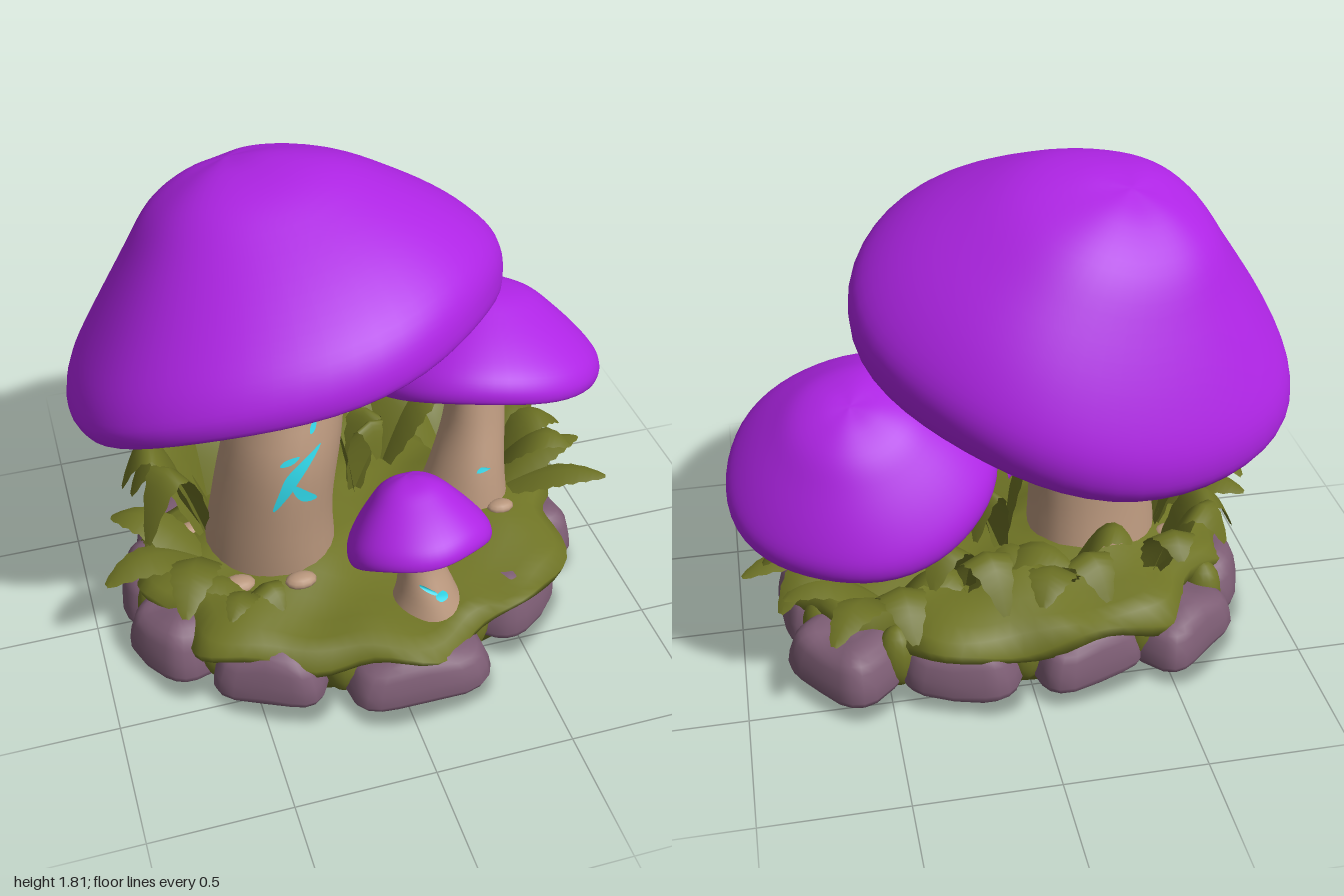
import * as THREE from 'three';
import { mergeVertices } from 'three/addons/utils/BufferGeometryUtils.js';

const paint = (name, color, side = THREE.FrontSide) => {
  const m = new THREE.MeshStandardMaterial({ color, side });
  m.name = name;
  return m;
};

export function createModel() {
  const model = new THREE.Group();
  model.name = 'mushroomCluster';
  const purple = paint('cap purple', 0xae24e4);
  const gill = paint('gill purple', 0x854ca8);
  const slate = paint('gill slate', 0x8c8aaa);
  const teal = paint('gill teal', 0x38c0c6);
  const tan = paint('stem tan', 0xb8967c);
  const cyan = paint('glowing cyan', 0x30d8ea, THREE.DoubleSide);
  const moss = paint('moss green', 0x6f7425);
  const leafGreen = paint('leaf green', 0x6c7124, THREE.DoubleSide);
  const stone = paint('stone mauve', 0x7d5d74);

  const add = (name, geometry, material, parent = model) => {
    const mesh = new THREE.Mesh(geometry, material);
    mesh.name = name;
    parent.add(mesh);
    return mesh;
  };

  // Move every vertex by a rule, then weld and smooth
  const v = new THREE.Vector3();
  const warp = (g, rule) => {
    const p = g.attributes.position;
    for (let i = 0; i < p.count; i++) {
      rule(v.fromBufferAttribute(p, i));
      p.setXYZ(i, v.x, v.y, v.z);
    }
    g.deleteAttribute('uv');
    g.deleteAttribute('normal');
    const out = mergeVertices(g, 1e-5);
    out.computeVertexNormals();
    return out;
  };
  const vec2 = ([x, y]) => new THREE.Vector2(x, y);
  const vec3 = ([x, y, z]) => new THREE.Vector3(x, y, z);

  // Caps: lathed unit profile, wobbled, scaled and tilted
  const dome = new THREE.SplineCurve([[0.88, -0.05], [0.91, -0.09], [0.97, -0.09], [1, 0.03], [0.96, 0.2], [0.82, 0.42],
    [0.62, 0.66], [0.42, 0.86], [0.2, 0.97], [0, 1]].map(vec2)).getPoints(40);
  dome[40].x = 0;

  function addCap(name, { center, axis, size, bands, sag, lean, phase, wobble }) {
    const cap = new THREE.Group();
    cap.name = name;
    const shape = (p) => {
      const a = Math.atan2(p.x, p.z), r = Math.hypot(p.x, p.z);
      const inner = p.y < 0 && r < 0.84 ? 0.1 * Math.sin(r / 0.84 * Math.PI) : 0;
      const k = 1 + wobble * r * (Math.sin(3 * a + phase) + 0.7 * Math.sin(5 * a + 2 * phase))
        + inner * (Math.sin(4 * a + phase) + 0.5 * Math.sin(9 * a));
      p.x = (p.x * k + lean * Math.sin(Math.PI * Math.max(0, p.y))) * size[0];
      p.z *= k * size[2];
      p.y = (p.y + wobble * 2 * r * Math.sin(4 * a + phase + 1)) * size[1];
    };
    add('capDome', warp(new THREE.LatheGeometry(dome, 56), shape), purple, cap);
    const edges = [0, ...bands, 0.88];
    [teal, slate, gill, purple].forEach((material, i) => {
      const pts = [];
      for (let j = 0; j <= 5; j++) {
        const r = THREE.MathUtils.lerp(edges[i], edges[i + 1], j / 5);
        pts.push(new THREE.Vector2(r, -0.05 - sag * (1 - (r / 0.88) ** 2)));
      }
      add('gillRing' + (i + 1), warp(new THREE.LatheGeometry(pts, 56), shape), material, cap);
    });
    cap.position.set(...center);
    cap.quaternion.setFromUnitVectors(new THREE.Vector3(0, 1, 0), vec3(axis).normalize());
    model.add(cap);
  }
  addCap('largeCap', { center: [-0.24, 1.175, -0.05], axis: [-0.2, 1, -0.33], size: [0.78, 0.635, 0.725],
    bands: [0.53, 0.65, 0.74], sag: 0.09, lean: 0.07, phase: 3, wobble: 0.012 });
  addCap('mediumCap', { center: [0.535, 0.775, -0.165], axis: [0.12, 1, -0.41], size: [0.465, 0.355, 0.455],
    bands: [0.3, 0.45, 0.55], sag: 0.13, lean: 0, phase: 2.2, wobble: 0.01 });
  addCap('smallCap', { center: [0.13, 0.48, 0.375], axis: [-0.05, 1, -0.47], size: [0.26, 0.25, 0.25],
    bands: [0.56, 0.65, 0.71], sag: 0.18, lean: 0, phase: 4, wobble: 0.012 });

  // Stems: rings swept along a curve; returns the surface so cracks can lie on it
  function addStem(name, path, radii) {
    const curve = new THREE.CatmullRomCurve3(path.map(vec3));
    const radius = new THREE.SplineCurve(radii.map((r, i) => new THREE.Vector2(i, r)));
    const surface = (a, t, lift, out) => {
      const c = curve.getPoint(t);
      const r = radius.getPoint(t).y * (1 + 0.03 * Math.sin(3 * a + 4 * t)) + lift;
      return out.set(c.x + r * Math.sin(a), c.y, c.z + r * Math.cos(a));
    };
    add(name, warp(new THREE.CylinderGeometry(1, 1, 1, 28, 16, true),
      (p) => surface(Math.atan2(p.x, p.z), p.y + 0.5, 0, p)), tan);
    return surface;
  }
  const large = addStem('largeStem', [[-0.32, 0.2, 0], [-0.315, 0.5, 0.035], [-0.27, 0.8, 0.04], [-0.215, 1.05, -0.02],
    [-0.21, 1.27, -0.06]], [0.25, 0.225, 0.21, 0.185, 0.2]);
  const medium = addStem('mediumStem', [[0.45, 0.2, -0.05], [0.48, 0.42, -0.06], [0.515, 0.62, -0.11],
    [0.53, 0.84, -0.17]], [0.19, 0.145, 0.115, 0.105]);
  const small = addStem('smallStem', [[0.16, 0.17, 0.43], [0.15, 0.3, 0.42], [0.135, 0.41, 0.39],
    [0.13, 0.52, 0.36]], [0.15, 0.105, 0.08, 0.085]);

  // Glowing cracks: tapered ribbons in (angle, height fraction)
  const addCrack = (surface, points, width) => {
    const line = new THREE.SplineCurve(points.map(vec2));
    const lean = 0.12 * Math.sign(points[points.length - 1][0] - points[0][0]);
    add('glowingCrack', warp(new THREE.PlaneGeometry(1, 1, 1, 12), (p) => {
      const s = p.y + 0.5, q = line.getPoint(s), w = p.x * width * (0.15 + Math.sin(Math.PI * s));
      surface(q.x + w, q.y - w * lean, 0.006, p);
    }), cyan);
  };
  addCrack(large, [[-0.3, 0.37], [-0.18, 0.43], [-0.08, 0.48], [0.12, 0.53], [0.36, 0.575]], 0.17);
  addCrack(large, [[0.4, 0.385], [0.17, 0.41], [-0.08, 0.46]], 0.13);
  addCrack(large, [[-0.3, 0.525], [-0.17, 0.54], [-0.02, 0.555]], 0.1);
  addCrack(large, [[0.14, 0.62], [0.18, 0.64], [0.22, 0.67]], 0.09);
  addCrack(medium, [[-0.15, 0.41], [0.05, 0.43], [0.2, 0.425]], 0.18);
  addCrack(small, [[-0.3, 0.55], [-0.15, 0.5], [0.05, 0.44]], 0.45);
  addCrack(small, [[0.2, 0.36], [0.3, 0.4], [0.4, 0.45]], 0.4);

  // Mossy mound, swelling around each stem and overhanging the stones
  const swells = [[-0.32, 0, 0.32, 0.12], [0.46, -0.06, 0.26, 0.08], [0.05, -0.25, 0.25, 0.06], [0.16, 0.43, 0.12, -0.03]];
  const ground = (x, z) => swells.reduce((h, [sx, sz, w, k]) =>
    h + k * Math.exp(-((x - sx) ** 2 + (z - sz) ** 2) / (w * w)), 0.265)
    + 0.018 * Math.sin(13 * x + 5 * z) * Math.cos(11 * z - 4 * x);
  const moundProfile = [[0, 0], [0.5, 0], [0.86, 0], [0.87, 0.1], [0.93, 0.17], [1.0, 0.19], [1.01, 0.22], [0.95, 0.25],
    [0.86, 0.262], [0.74, 0.265], [0.6, 0.265], [0.45, 0.265], [0.3, 0.265], [0.15, 0.265], [0, 0.265]].map(vec2);
  add('mossMound', warp(new THREE.LatheGeometry(moundProfile, 96), (p) => {
    const a = Math.atan2(p.x, p.z), r = Math.hypot(p.x, p.z);
    const k = 1 + 0.045 * r * (Math.sin(7 * a + 1) + 0.6 * Math.sin(12 * a));
    p.x = -0.01 + 0.8 * p.x * k;
    p.z = 0.04 + 0.62 * p.z * k;
    if (p.y > 0.2) p.y += ground(p.x, p.z) - 0.265;
    if (r > 0.98) p.y += 0.03 * Math.sin(9 * a + 2) - 0.01;
  }), moss);

  // Ring of rounded stones with mossy soles: x, z, width, depth, height
  const box = (n) => Math.sign(n) * Math.abs(n) ** 0.58;
  const stones = [[-0.7, 0.2, 0.42, 0.38, 0.23], [-0.42, 0.44, 0.46, 0.36, 0.235], [0.06, 0.56, 0.56, 0.4, 0.21],
    [0.49, 0.33, 0.46, 0.36, 0.24], [0.69, 0.0, 0.44, 0.36, 0.225], [0.62, -0.33, 0.44, 0.4, 0.215],
    [0.24, -0.42, 0.48, 0.36, 0.21], [-0.2, -0.43, 0.48, 0.34, 0.21], [-0.56, -0.36, 0.46, 0.36, 0.21],
    [-0.73, -0.09, 0.42, 0.32, 0.225]];
  stones.forEach(([x, z, w, d, h], i) => {
    const group = new THREE.Group();
    group.name = 'stone' + (i + 1);
    add('stoneBody', warp(new THREE.SphereGeometry(1, 20, 12), (p) => {
      p.set(box(p.x), box(p.y), box(p.z));
      const taper = 1 - 0.12 * (p.y + 1) + 0.05 * Math.sin(3 * p.x + 2 * p.z + i * 2);
      p.set(p.x * taper * w / 2, (p.y + 1) * h / 2 * (1 + 0.06 * Math.sin(4 * p.x + i)) + 0.004, p.z * taper * d / 2);
    }), stone, group);
    add('mossSole', warp(new THREE.CircleGeometry(1, 24).rotateX(Math.PI / 2), (p) =>
      p.set(box(p.x) * w * 0.49, 0.001, box(p.z) * d * 0.49)), moss, group);
    group.position.set(x, 0, z);
    group.rotation.y = Math.atan2(x * 0.6, z);
    model.add(group);

    // Moss hanging down the gap to the next stone
    const [nx, nz] = stones[(i + 1) % stones.length];
    const drape = add('mossDrape', new THREE.SphereGeometry(1, 14, 10), moss);
    drape.scale.set(0.075, 0.125, 0.075);
    drape.position.set((x + nx) * 0.54, 0.13, (z + nz) * 0.54);
  });

  // Arching leaves with ragged edges
  function addLeaf(x, z, yaw, length, rise, width, bend) {
    const y0 = ground(x, z) - 0.02;
    add('leaf', warp(new THREE.PlaneGeometry(1, 1, 2, 16), (p) => {
      const s = p.y + 0.5, row = Math.round(s * 16);
      const w = width * Math.sin(Math.PI * (0.06 + 0.92 * s ** 0.9)) ** 0.7 * (row % 2 ? 1 : 0.88);
      const out = length * s, side = p.x * w;
      p.set(x + Math.sin(yaw) * out + Math.cos(yaw) * side,
        y0 + rise * Math.sin(s * bend) - Math.abs(side) * 0.35,
        z + Math.cos(yaw) * out - Math.sin(yaw) * side);
    }), leafGreen);
  }
  // Tufts: x, z, main direction, leaf count, spread, length, rise, width
  [[-0.55, -0.05, -1.6, 3, 1.4, 0.34, 0.41, 0.17], [-0.58, 0.08, -1.25, 3, 1.7, 0.35, 0.17, 0.18],
    [-0.5, -0.28, -2.3, 3, 1.7, 0.31, 0.3, 0.18], [-0.15, -0.31, 3.1, 4, 2.4, 0.28, 0.22, 0.18],
    [0.2, -0.28, 3.0, 4, 2.4, 0.34, 0.28, 0.18], [0.47, -0.3, 2.9, 4, 2.2, 0.35, 0.2, 0.17],
    [0.6, -0.14, 1.7, 3, 1.3, 0.35, 0.19, 0.17], [0.6, -0.02, 1.55, 2, 0.7, 0.36, 0.12, 0.15],
    [0.04, -0.12, 0.4, 3, 4.0, 0.16, 0.36, 0.14], [-0.45, 0.27, -0.6, 3, 2.0, 0.2, 0.1, 0.11]].forEach(
    ([x, z, yaw, n, spread, length, rise, width], t) => {
      for (let i = 0; i < n; i++) {
        const k = 1 + 0.15 * Math.sin(5 * i + 3 * t);
        addLeaf(x, z, yaw + spread * (i / (n - 1) - 0.5), length * k, rise * (2 - k), width, 2.2 + 0.25 * (i % 3));
      }
    });

  // Small tan root knobs in the moss
  [[-0.5, 0.24, 0.05], [-0.28, 0.29, 0.045], [0.55, 0.12, 0.04], [0.36, 0.2, 0.035], [-0.6, -0.1, 0.04]].forEach(([x, z, r]) => {
    const knob = add('rootKnob', new THREE.SphereGeometry(r, 12, 8), tan);
    knob.scale.set(1.3, 0.6, 0.9);
    knob.position.set(x, ground(x, z), z);
  });
  return model;
}
